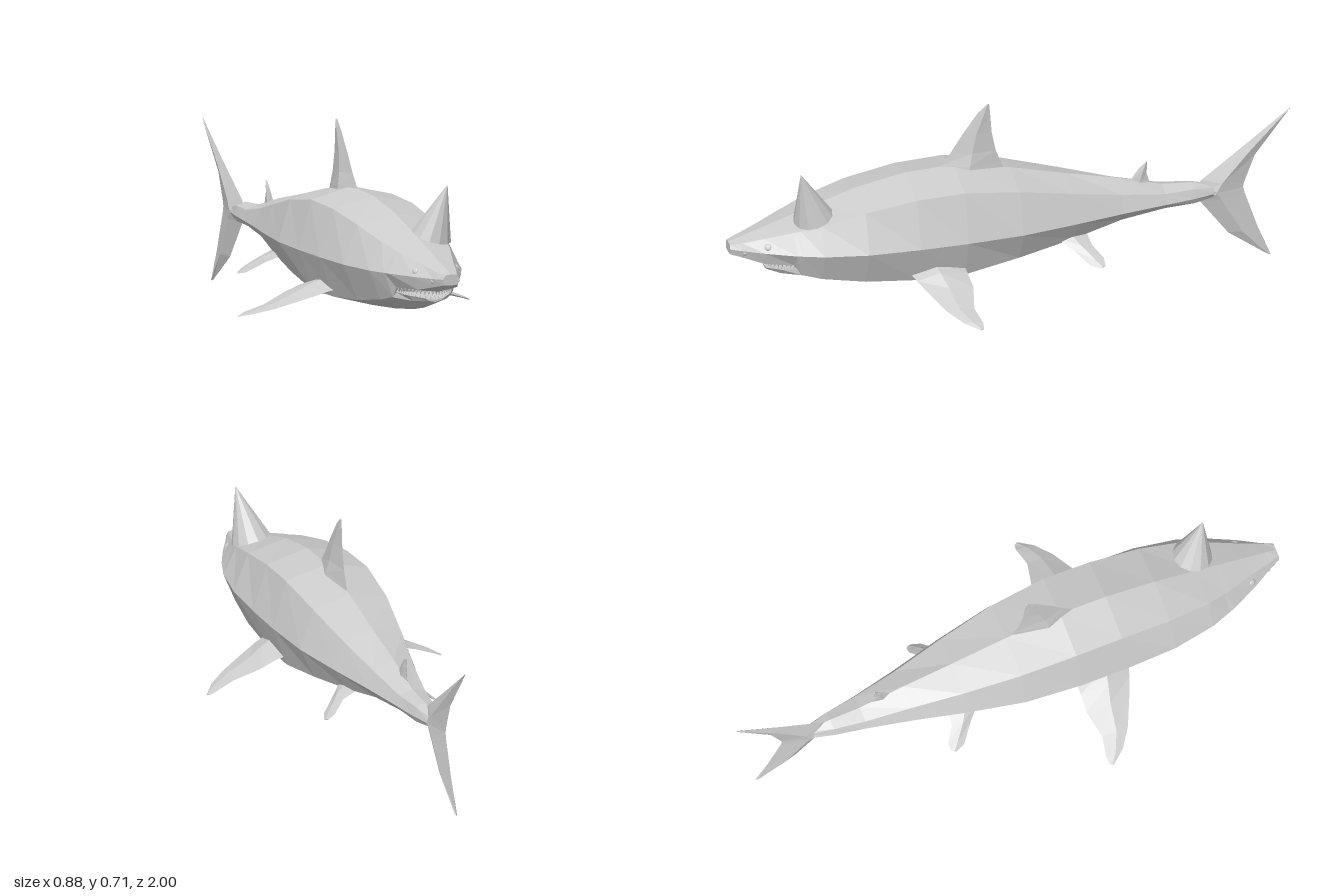
import * as THREE from 'three';

const grey = new THREE.MeshStandardMaterial({ color: 0xcccccc, flatShading: true, side: THREE.DoubleSide });

// Skin a list of equal-length closed rings, cap both ends, face outward.
function loft(rings) {
  const tris = [], n = rings[0].length;
  for (let i = 0; i < rings.length - 1; i++) {
    for (let j = 0; j < n; j++) {
      const k = (j + 1) % n;
      const a = rings[i][j], b = rings[i][k], c = rings[i + 1][k], d = rings[i + 1][j];
      tris.push([a, b, c], [a, c, d]);
    }
  }
  [rings[0], rings[rings.length - 1]].forEach((ring, end) => {
    const mid = new THREE.Vector3();
    ring.forEach(p => mid.addScaledVector(p, 1 / n));
    for (let j = 0; j < n; j++) {
      const a = ring[j], b = ring[(j + 1) % n];
      tris.push(end ? [mid, a, b] : [mid, b, a]);
    }
  });
  const volume = tris.reduce((s, [a, b, c]) => s + a.dot(b.clone().cross(c)), 0);
  if (volume < 0) tris.forEach(t => t.reverse());
  const geometry = new THREE.BufferGeometry().setFromPoints(tris.flat());
  geometry.computeVertexNormals();
  return geometry;
}

// Fin from sections [lead, trail, halfThickness]; each is a diamond, thick across the given axis.
function fin(sections, axis, side = 1) {
  return loft(sections.map(([lead, trail, t]) => {
    const l = new THREE.Vector3(...lead), r = new THREE.Vector3(...trail);
    l.x *= side;
    r.x *= side;
    const m = l.clone().lerp(r, 0.45);
    const across = new THREE.Vector3(...axis);
    across.x *= side;
    return [l, m.clone().addScaledVector(across, t), r, m.clone().addScaledVector(across, -t)];
  }));
}

export function createModel() {
  const group = new THREE.Group();
  const add = (name, geometry) => {
    const mesh = new THREE.Mesh(geometry, grey);
    mesh.name = name;
    group.add(mesh);
    return mesh;
  };
  const V = (x, y, z) => new THREE.Vector3(x, y, z);

  // Body: z, top y, shoulder x y, middle x y, lower x y, bottom y
  const stations = [
    [1.00, 0.305, 0.022, 0.302, 0.030, 0.288, 0.026, 0.268, 0.266],
    [0.96, 0.318, 0.038, 0.310, 0.050, 0.286, 0.042, 0.258, 0.252],
    [0.89, 0.340, 0.060, 0.328, 0.090, 0.286, 0.075, 0.240, 0.228],
    [0.79, 0.374, 0.095, 0.356, 0.138, 0.286, 0.108, 0.236, 0.224],
    [0.77, 0.380, 0.101, 0.361, 0.145, 0.286, 0.112, 0.200, 0.155],
    [0.70, 0.403, 0.122, 0.382, 0.170, 0.286, 0.126, 0.182, 0.140],
    [0.55, 0.452, 0.142, 0.420, 0.196, 0.286, 0.143, 0.160, 0.121],
    [0.37, 0.487, 0.150, 0.450, 0.202, 0.286, 0.150, 0.146, 0.106],
    [0.20, 0.494, 0.152, 0.457, 0.200, 0.286, 0.150, 0.145, 0.101],
    [0.00, 0.458, 0.138, 0.428, 0.184, 0.284, 0.132, 0.175, 0.140],
    [-0.20, 0.408, 0.107, 0.380, 0.142, 0.280, 0.100, 0.205, 0.178],
    [-0.38, 0.367, 0.073, 0.336, 0.097, 0.275, 0.066, 0.238, 0.220],
    [-0.54, 0.322, 0.049, 0.306, 0.062, 0.271, 0.045, 0.251, 0.244],
    [-0.65, 0.315, 0.033, 0.303, 0.043, 0.271, 0.032, 0.249, 0.244],
    [-0.74, 0.290, 0.012, 0.288, 0.020, 0.271, 0.012, 0.258, 0.255],
  ];
  add('body', loft(stations.map(([z, top, sx, sy, mx, my, lx, ly, bottom]) => [
    V(0, top, z), V(sx, sy, z), V(mx, my, z), V(lx, ly, z),
    V(0, bottom, z), V(-lx, ly, z), V(-mx, my, z), V(-sx, sy, z),
  ])));

  // Lower jaw: z, rim x y, lower x y, bottom y
  const jaw = [
    [0.872, 0.035, 0.204, 0.026, 0.196, 0.190],
    [0.83, 0.080, 0.212, 0.064, 0.192, 0.172],
    [0.77, 0.112, 0.222, 0.112, 0.199, 0.154],
  ];
  add('lowerJaw', loft(jaw.map(([z, rx, ry, lx, ly, bottom]) => [
    V(0, ry - 0.006, z), V(rx, ry, z), V(lx, ly, z),
    V(0, bottom, z), V(-lx, ly, z), V(-rx, ry, z),
  ])));

  // Rows of small teeth along both jaws
  const teeth = new THREE.Group();
  teeth.name = 'teeth';
  const toothShape = new THREE.ConeGeometry(0.005, 0.014, 4);
  const rows = [
    [[V(-0.1, 0.23, 0.79), V(-0.06, 0.225, 0.85), V(0, 0.22, 0.88), V(0.06, 0.225, 0.85), V(0.1, 0.23, 0.79)], Math.PI],
    [[V(-0.1, 0.224, 0.785), V(-0.072, 0.216, 0.83), V(0, 0.208, 0.866), V(0.072, 0.216, 0.83), V(0.1, 0.224, 0.785)], 0],
  ];
  for (const [path, turn] of rows) {
    for (const p of new THREE.CatmullRomCurve3(path).getPoints(20)) {
      const tooth = new THREE.Mesh(toothShape, grey);
      tooth.position.copy(p);
      tooth.rotation.x = turn;
      teeth.add(tooth);
    }
  }
  group.add(teeth);

  // Fins along the centre line
  const X = [1, 0, 0];
  add('dorsalFin', fin([
    [[0, 0.46, 0.27], [0, 0.43, 0.01], 0.034],
    [[0, 0.495, 0.245], [0, 0.48, 0.03], 0.027],
    [[0, 0.54, 0.21], [0, 0.53, 0.05], 0.017],
    [[0, 0.605, 0.168], [0, 0.6, 0.064], 0.011],
    [[0, 0.682, 0.112], [0, 0.665, 0.069], 0.006],
    [[0, 0.711, 0.082], [0, 0.708, 0.073], 0.003],
  ], X));
  add('rearDorsalFin', fin([
    [[0, 0.34, -0.42], [0, 0.325, -0.50], 0.010],
    [[0, 0.392, -0.458], [0, 0.37, -0.486], 0.007],
    [[0, 0.415, -0.483], [0, 0.413, -0.488], 0.003],
  ], X));
  add('upperTailFin', fin([
    [[0, 0.268, -0.64], [0, 0.268, -0.828], 0.026],
    [[0, 0.318, -0.68], [0, 0.29, -0.832], 0.022],
    [[0, 0.437, -0.84], [0, 0.39, -0.87], 0.011],
    [[0, 0.557, -0.996], [0, 0.55, -0.993], 0.002],
  ], X));
  add('lowerTailFin', fin([
    [[0, 0.276, -0.64], [0, 0.276, -0.828], 0.026],
    [[0, 0.238, -0.675], [0, 0.25, -0.834], 0.022],
    [[0, 0.105, -0.775], [0, 0.115, -0.88], 0.015],
    [[0, 0.008, -0.91], [0, 0.001, -0.927], 0.004],
  ], X));

  // Paired fins, eyes and nostrils
  for (const side of [1, -1]) {
    const name = side > 0 ? 'left' : 'right';
    add(name + 'PectoralFin', fin([
      [[0.13, 0.18, 0.40], [0.13, 0.18, 0.20], 0.03],
      [[0.19, 0.162, 0.38], [0.19, 0.168, 0.20], 0.023],
      [[0.25, 0.14, 0.355], [0.25, 0.145, 0.197], 0.012],
      [[0.34, 0.108, 0.313], [0.34, 0.11, 0.218], 0.007],
      [[0.40, 0.088, 0.27], [0.41, 0.086, 0.205], 0.004],
      [[0.438, 0.074, 0.222], [0.432, 0.075, 0.208], 0.002],
    ], [0.3, 0.95, 0], side));
    add(name + 'PelvicFin', fin([
      [[0.09, 0.215, -0.135], [0.085, 0.215, -0.25], 0.012],
      [[0.14, 0.184, -0.185], [0.135, 0.192, -0.255], 0.010],
      [[0.198, 0.143, -0.235], [0.178, 0.158, -0.286], 0.005],
      [[0.211, 0.136, -0.268], [0.203, 0.14, -0.285], 0.002],
    ], [0.5, 0.85, 0], side));

    const eye = add(name + 'Eye', new THREE.SphereGeometry(0.013, 10, 6));
    eye.position.set(0.08 * side, 0.305, 0.88);
    eye.scale.set(0.5, 1, 1);
    eye.rotation.set(0, -0.4 * side, 0.5 * side);
    const nostril = add(name + 'Nostril', new THREE.SphereGeometry(0.008, 8, 5));
    nostril.position.set(0.05 * side, 0.274, 0.952);
    nostril.scale.set(0.5, 1, 1);
    nostril.rotation.z = -0.4 * side;
  }

  // Tilted cone hat
  const base = V(0.06, 0.392, 0.715), tip = V(0.096, 0.576, 0.768);
  const axis = tip.clone().sub(base);
  const hat = add('coneHat', new THREE.ConeGeometry(0.07, axis.length(), 12));
  hat.position.copy(base).lerp(tip, 0.5);
  hat.quaternion.setFromUnitVectors(V(0, 1, 0), axis.normalize());

  return group;
}
